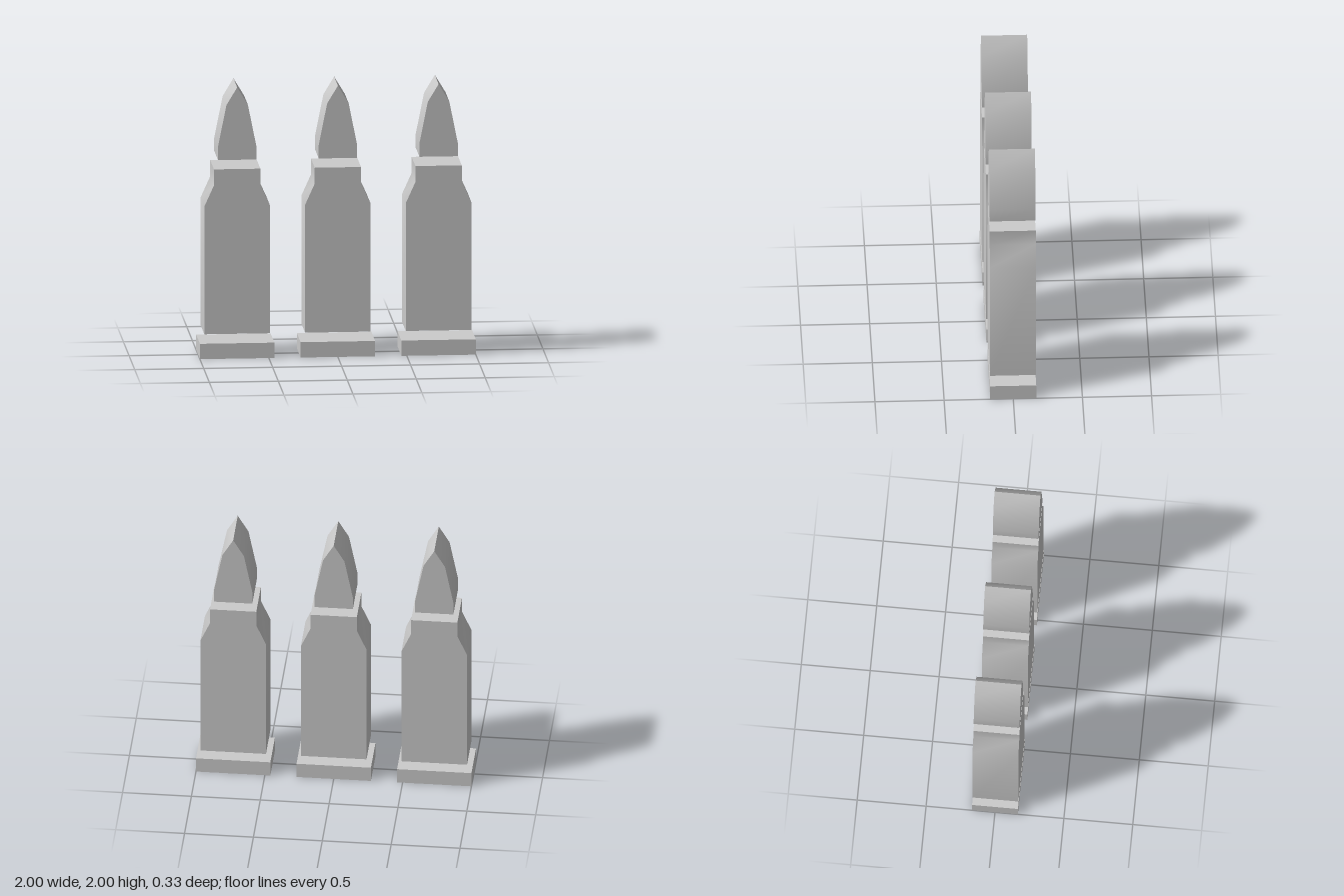
import * as THREE from 'three';
import { toCreasedNormals } from 'three/addons/utils/BufferGeometryUtils.js';

const DEPTH = 0.333;
const SPACING = 0.73;

// Right-hand outline [x, y] from bottom to top, mirrored and extruded along z
function symmetricSlab(half) {
  const mirrored = half.filter(([x]) => x > 0).reverse().map(([x, y]) => [-x, y]);
  const shape = new THREE.Shape([...half, ...mirrored].map(([x, y]) => new THREE.Vector2(x, y)));
  const geometry = new THREE.ExtrudeGeometry(shape, { depth: DEPTH, bevelEnabled: false });
  geometry.translate(0, 0, -DEPTH / 2);
  // Smooth across the gentle bends, sharp at the corners and the ridge
  return toCreasedNormals(geometry, THREE.MathUtils.degToRad(35));
}

export function createModel() {
  const model = new THREE.Group();
  model.name = 'cartridgeRow';
  const material = new THREE.MeshStandardMaterial({ color: 0xcccccc });

  const parts = {
    // Flat rim at the foot
    rim: symmetricSlab([[0.27, 0], [0.27, 0.113]]),
    // Case with shoulder and neck
    case: symmetricSlab([[0.238, 0.183], [0.238, 1.125], [0.168, 1.28], [0.168, 1.398]]),
    // Pointed tip
    tip: symmetricSlab([[0.139, 1.466], [0.139, 1.565], [0.078, 1.87], [0, 2]]),
  };

  // Three identical cartridges side by side
  ['right', 'middle', 'left'].forEach((side, i) => {
    const cartridge = new THREE.Group();
    cartridge.name = `${side}Cartridge`;
    cartridge.position.x = (i - 1) * SPACING;
    for (const [name, geometry] of Object.entries(parts)) {
      const mesh = new THREE.Mesh(geometry, material);
      mesh.name = name;
      cartridge.add(mesh);
    }
    model.add(cartridge);
  });

  return model;
}
